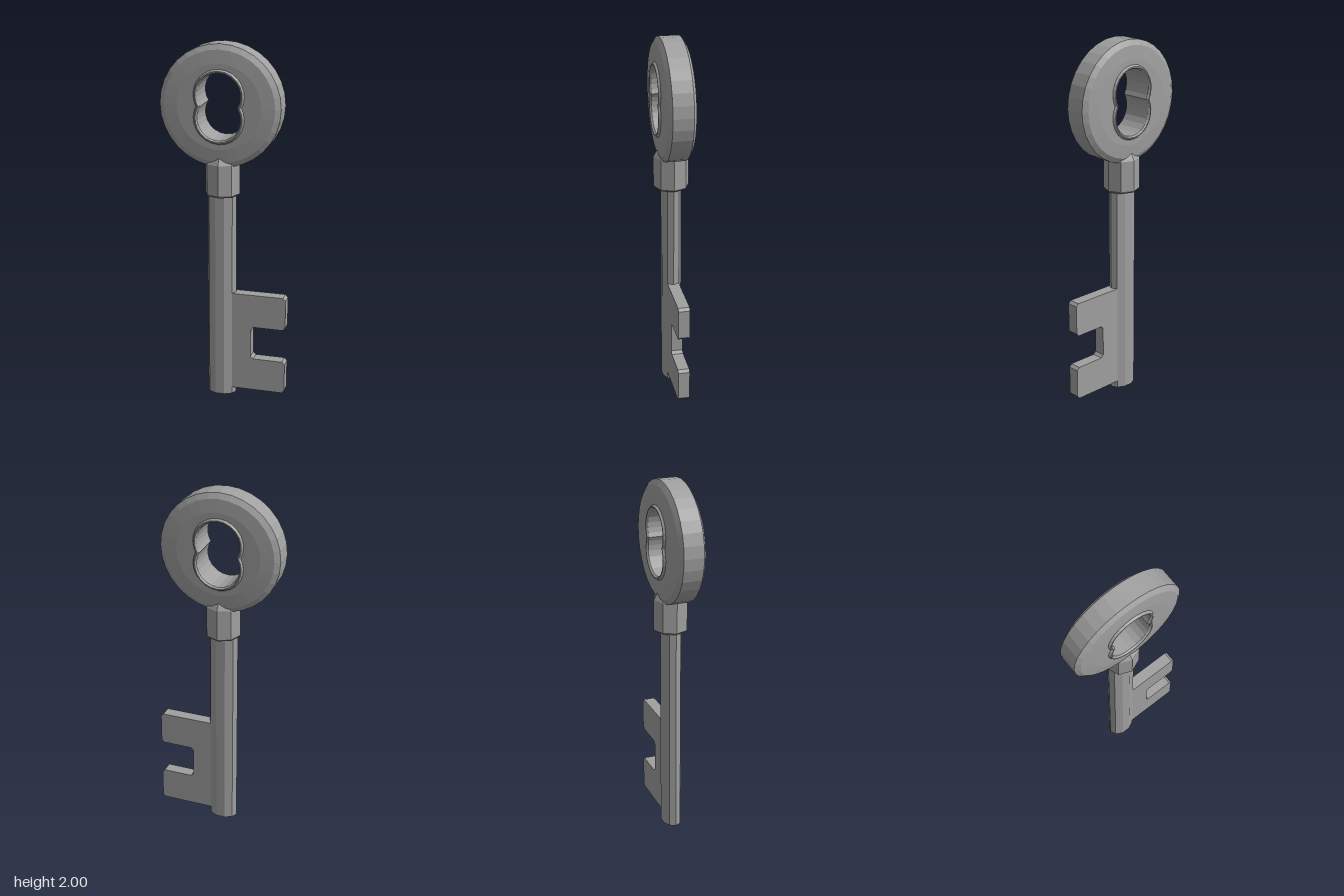
import * as THREE from 'three';

const AXIS_X = -0.0185;
const BOW_Y = 1.67;
const mat = new THREE.MeshStandardMaterial({ color: 0xa0a0a0, flatShading: true });

function part(name, geometry, x = 0, y = 0, z = 0) {
  const mesh = new THREE.Mesh(geometry, mat);
  mesh.name = name;
  mesh.position.set(x, y, z);
  return mesh;
}

// Radius, at a given angle, of the outline of two overlapping stacked circles
function keyholeRadius(angle, R, offset = 0.062) {
  const c = offset * Math.cos(angle);
  return offset * Math.abs(Math.sin(angle)) + Math.sqrt(R * R - c * c);
}

// Round bow: a closed cross-section swept round, circular outside, double-circle hole inside
function bowGeometry() {
  const circle = (r, z) => ({ z, at: () => r });
  const hole = (R, z) => ({ z, at: (a) => keyholeRadius(a, R) });
  const half = [
    circle(0.33, 0.055), circle(0.302, 0.073), circle(0.23, 0.08),
    hole(0.139, 0.08), hole(0.131, 0.092), hole(0.125, 0.092), hole(0.118, 0.082),
  ];
  const back = half.map((p) => ({ z: -p.z, at: p.at })).reverse();
  const section = [...half, ...back];
  const sides = 32, n = section.length;
  const positions = [], index = [];
  for (let i = 0; i < sides; i++) {
    const a = (i / sides) * Math.PI * 2;
    for (const p of section) {
      const r = p.at(a);
      positions.push(r * Math.cos(a), r * Math.sin(a), p.z);
    }
  }
  for (let i = 0; i < sides; i++) {
    for (let j = 0; j < n; j++) {
      const i2 = (i + 1) % sides, j2 = (j + 1) % n;
      const a = i * n + j, b = i2 * n + j, c = i2 * n + j2, d = i * n + j2;
      index.push(a, b, c, a, c, d);
    }
  }
  const g = new THREE.BufferGeometry();
  g.setAttribute('position', new THREE.Float32BufferAttribute(positions, 3));
  g.setIndex(index);
  g.computeVertexNormals();
  return g;
}

// Plate with two teeth, every corner cut by a small chamfer
function bitGeometry() {
  const corners = [
    [-0.02, 0.04], [0.347, 0.04], [0.347, 0.23], [0.152, 0.23],
    [0.152, 0.422], [0.347, 0.422], [0.347, 0.613], [-0.02, 0.613],
  ].map(([x, y]) => new THREE.Vector2(x, y));
  const cut = 0.015;
  const points = [];
  corners.forEach((p, i) => {
    const prev = corners[(i + corners.length - 1) % corners.length];
    const next = corners[(i + 1) % corners.length];
    for (const q of [prev, next]) {
      points.push(q.clone().sub(p).setLength(cut).add(p));
    }
  });
  const depth = 0.064;
  return new THREE.ExtrudeGeometry(new THREE.Shape(points), { depth, bevelEnabled: false })
    .translate(0, 0, -depth / 2);
}

export function createModel() {
  const key = new THREE.Group();
  key.name = 'key';

  key.add(part('bow', bowGeometry(), AXIS_X, BOW_Y));

  // Eight-sided collar, tapering at the top into the bow
  const collar = [[0, 1.176], [0.09, 1.176], [0.097, 1.185], [0.097, 1.355], [0.068, 1.405], [0, 1.405]]
    .map(([r, y]) => new THREE.Vector2(r, y));
  key.add(part('collar', new THREE.LatheGeometry(collar, 8), AXIS_X));

  // Flattened faceted shaft
  const shaft = new THREE.CylinderGeometry(0.081, 0.081, 1.2, 10);
  shaft.rotateY(Math.PI / 10).scale(1, 1, 0.67);
  key.add(part('shaft', shaft, AXIS_X - 0.003, 0.6));

  key.add(part('bit', bitGeometry()));
  return key;
}
